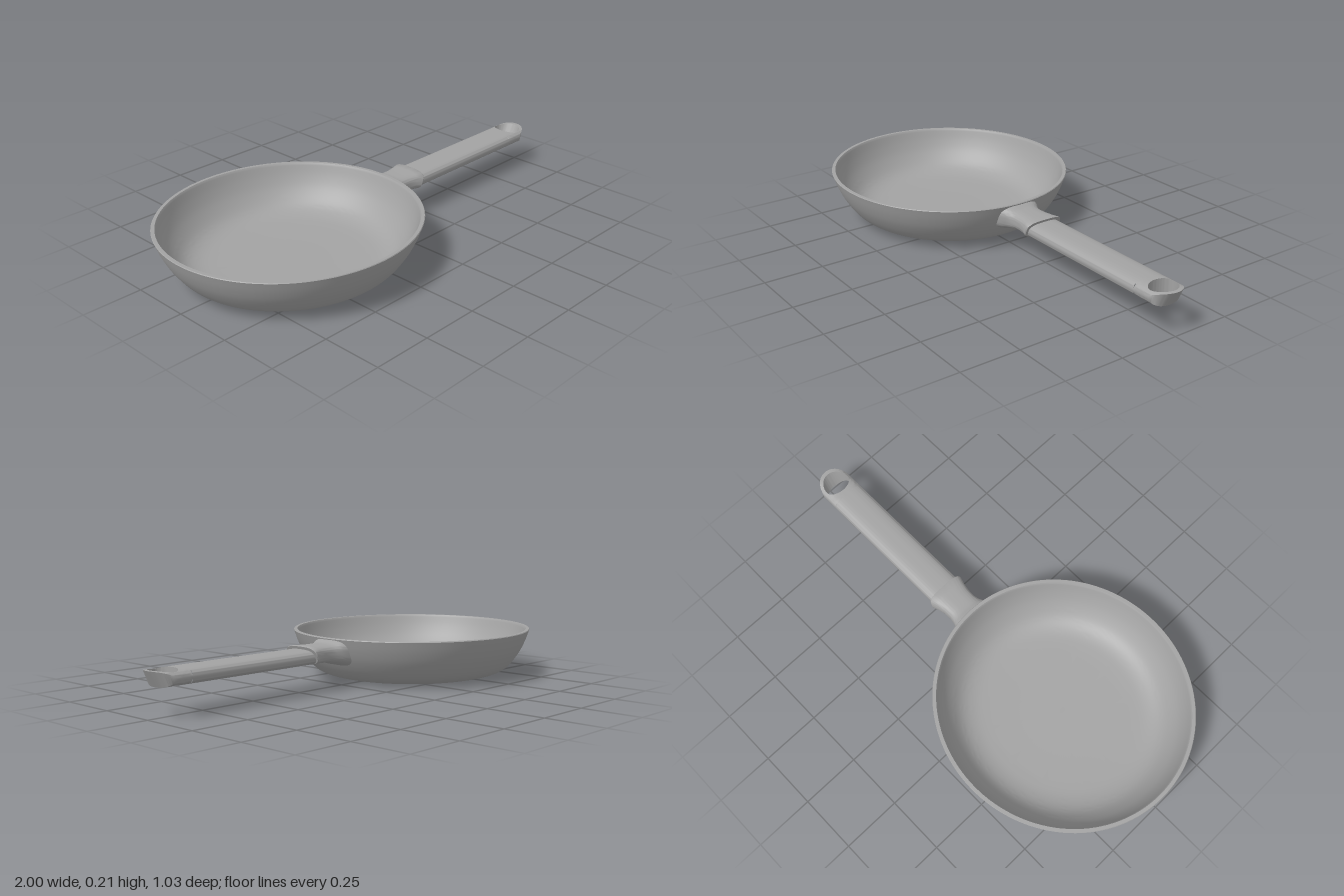
import * as THREE from 'three';
import { toCreasedNormals } from 'three/addons/utils/BufferGeometryUtils.js';

const steel = new THREE.MeshStandardMaterial({ color: 0xa3a3a3 });
steel.name = 'brushed grey metal';

// Surface from a grid of points; its outside is along (u direction) x (v direction)
function gridSurface(nu, nv, point, crease = 0.7) {
  const pos = [], index = [];
  for (let i = 0; i <= nu; i++) for (let j = 0; j <= nv; j++) pos.push(...point(i, j));
  for (let i = 0; i < nu; i++) for (let j = 0; j < nv; j++) {
    const a = i * (nv + 1) + j, b = a + nv + 1;
    index.push(a, b, a + 1, b, b + 1, a + 1);
  }
  const geo = new THREE.BufferGeometry();
  geo.setAttribute('position', new THREE.Float32BufferAttribute(pos, 3));
  geo.setIndex(index);
  return toCreasedNormals(geo, crease);
}

// Loft of rounded-rectangle sections [x, centre y, half height, half width, slant]
function loft(sections, power) {
  const sides = 64;
  const bend = (v) => Math.sign(v) * Math.abs(v) ** (2 / power);
  return gridSurface(sections.length - 1, sides, (i, j) => {
    const [x, cy, h, w, slant] = sections[i];
    const a = (j % sides) / sides * Math.PI * 2;
    const dy = h * bend(Math.sin(a));
    return [x + slant * dy, cy + dy, w * bend(Math.cos(a))];
  });
}

function add(group, name, geometry) {
  const mesh = new THREE.Mesh(geometry, steel);
  mesh.name = name;
  group.add(mesh);
  return mesh;
}

const V = (x, y) => new THREE.Vector2(x, y);

// Handle grip measurements
const W = 0.073, H = 0.031, CY = 0.146, POWER = 3, JOIN = 0.85, HOLE_X = 0.92;

// Handle end: a ring around the hanging hole, cut off at a slant
function handleTip() {
  const around = 64, steps = 8, rows = 2 * steps + 2;
  return gridSurface(around, rows, (i, j) => {
    const t = (i % around) / around * Math.PI * 2, c = Math.cos(t), s = Math.sin(t);
    const front = c > 0, k = front ? 1 : 1 / Math.max(Math.abs(c), Math.abs(s));
    const outer = [HOLE_X + (front ? 1 - HOLE_X : HOLE_X - JOIN) * c * k, W * s * k];
    const inner = [HOLE_X + (front ? 0.063 : 0.04) * c, 0.059 * s];
    // Rows run out over the top, back in underneath, then up the hole wall
    const top = j <= steps || j === rows;
    const q = j === rows ? 0 : top ? j / steps : (rows - 1 - j) / steps;
    const f = 1 - (1 - q) ** 2;
    const x = inner[0] + (outer[0] - inner[0]) * f;
    const z = inner[1] + (outer[1] - inner[1]) * f;
    const rise = H * Math.max(0, 1 - Math.abs(z / W) ** POWER) ** (1 / POWER);
    const dy = top ? rise : -rise;
    return [x - 0.033 * Math.max(0, c) * (H - dy) / (2 * H), CY + dy, z];
  });
}

export function createModel() {
  const group = new THREE.Group();
  group.name = 'fryingPan';

  // Pan body: outer wall, rim and inner wall in one profile
  const outerWall = new THREE.SplineCurve([
    V(0.3, 0), V(0.35, 0.008), V(0.4, 0.024), V(0.435, 0.052),
    V(0.472, 0.105), V(0.496, 0.155), V(0.513, 0.204),
  ]).getPoints(28);
  const innerWall = new THREE.SplineCurve([
    V(0.496, 0.204), V(0.479, 0.155), V(0.455, 0.107), V(0.42, 0.062),
    V(0.385, 0.036), V(0.34, 0.022), V(0.28, 0.017),
  ]).getPoints(28);
  const profile = [V(0, 0), V(0.15, 0), ...outerWall, V(0.511, 0.207), V(0.498, 0.207),
    ...innerWall, V(0.14, 0.016), V(0, 0.016)];
  const pan = add(group, 'panBody', toCreasedNormals(new THREE.LatheGeometry(profile, 128), 0.9));
  pan.scale.x = 1.057;
  pan.position.x = -0.458;

  // Collar: flares into the pan wall, then widens to a slanted end
  add(group, 'handleCollar', loft([
    [0.05, 0.145, 0.057, 0.096, 0.45],
    [0.07, 0.146, 0.052, 0.09, 0.35],
    [0.085, 0.147, 0.046, 0.082, 0.25],
    [0.105, 0.148, 0.041, 0.074, 0.1],
    [0.13, 0.15, 0.038, 0.069, 0],
    [0.165, 0.151, 0.037, 0.07, 0.1],
    [0.2, 0.152, 0.037, 0.077, 0.25],
    [0.226, 0.152, 0.038, 0.086, 0.4],
    [0.231, 0.152, 0.036, 0.084, 0.4],
    [0.231, 0.152, 0, 0, 0],
  ], 3.2));

  // Grip: a straight bar with rounded sides
  add(group, 'handleGrip', loft([[0.19, CY, H, W, 0], [JOIN, CY, H, W, 0]], POWER));
  add(group, 'handleTip', handleTip());

  return group;
}
